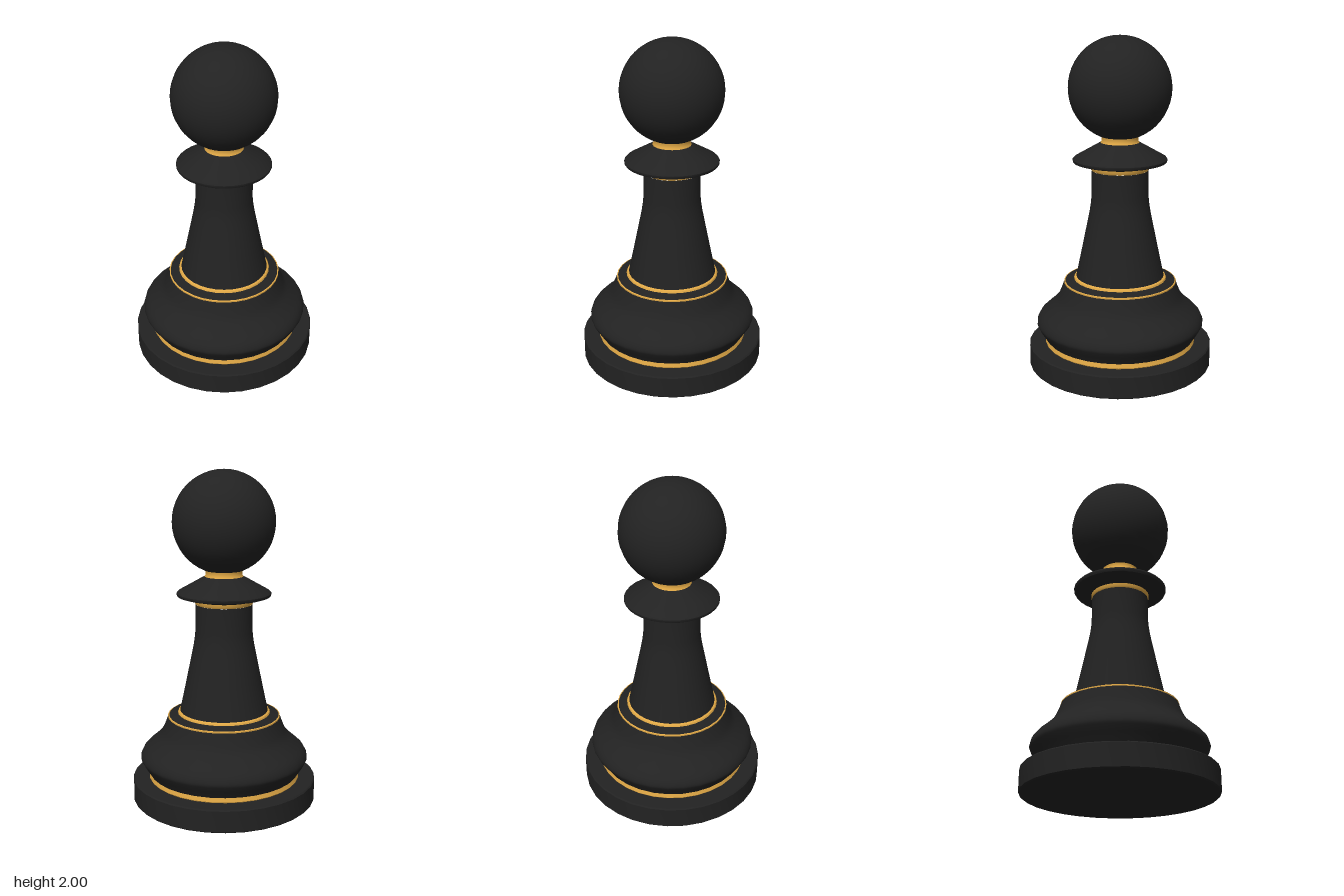
import * as THREE from 'three';
import { toCreasedNormals } from 'three/addons/utils/BufferGeometryUtils.js';

const SIDES = 32;
const black = new THREE.MeshStandardMaterial({ color: 0x222222 });
const gold = new THREE.MeshStandardMaterial({ color: 0xdfa745 });

// Turned part from [radius, height] pairs listed bottom to top
function turned(name, profile, material) {
  const points = profile.map(([r, y]) => new THREE.Vector2(r, y));
  const geometry = toCreasedNormals(new THREE.LatheGeometry(points, SIDES), 0.6);
  const mesh = new THREE.Mesh(geometry, material);
  mesh.name = name;
  return mesh;
}

// Rounds a coarse profile into a smooth one
function smooth(profile, steps) {
  const curve = new THREE.SplineCurve(profile.map(([r, y]) => new THREE.Vector2(r, y)));
  return curve.getPoints(steps).map((p) => [p.x, p.y]);
}

export function createModel() {
  const group = new THREE.Group();
  group.name = 'pawn';

  // Base disc with slightly eased edges
  group.add(turned('base', [
    [0, 0], [0.553, 0], [0.56, 0.007], [0.56, 0.133], [0.553, 0.14], [0, 0.14],
  ], black));
  group.add(turned('baseRing', [[0.458, 0.138], [0.462, 0.145], [0.455, 0.172]], gold));

  // Bulging foot
  group.add(turned('foot', smooth([
    [0.457, 0.17], [0.475, 0.2], [0.5, 0.24], [0.511, 0.27], [0.492, 0.313], [0.44, 0.36],
    [0.39, 0.41], [0.362, 0.465], [0.342, 0.518],
  ], 28), black));
  group.add(turned('footRing', [[0.342, 0.518], [0.342, 0.526], [0.335, 0.528]], gold));
  group.add(turned('footShoulder', [[0.338, 0.527], [0.32, 0.532], [0.27, 0.546]], black));

  // Stem with a ring at each end
  group.add(turned('stemLowerRing', [[0.282, 0.542], [0.278, 0.552], [0.265, 0.558]], gold));
  group.add(turned('stem', [
    [0.267, 0.556], [0.228, 0.74], [0.193, 0.91], [0.182, 0.965], [0.175, 1.01], [0.171, 1.05], [0.17, 1.212],
  ], black));
  group.add(turned('stemUpperRing', [[0.169, 1.212], [0.174, 1.22], [0.176, 1.237]], gold));

  // Flared collar and neck
  group.add(turned('collar', [
    [0.174, 1.236], [0.19, 1.242], [0.25, 1.254], [0.276, 1.262], [0.281, 1.27], [0.281, 1.28],
    [0.273, 1.289], [0.22, 1.319], [0.16, 1.353], [0.13, 1.37], [0.11, 1.381],
  ], black));
  group.add(turned('neckRing', [[0.115, 1.378], [0.109, 1.388], [0.108, 1.405], [0.113, 1.425]], gold));

  // Ball head
  const head = new THREE.Mesh(new THREE.SphereGeometry(0.304, SIDES, 24), black);
  head.name = 'head';
  head.position.y = 1.696;
  group.add(head);

  return group;
}
